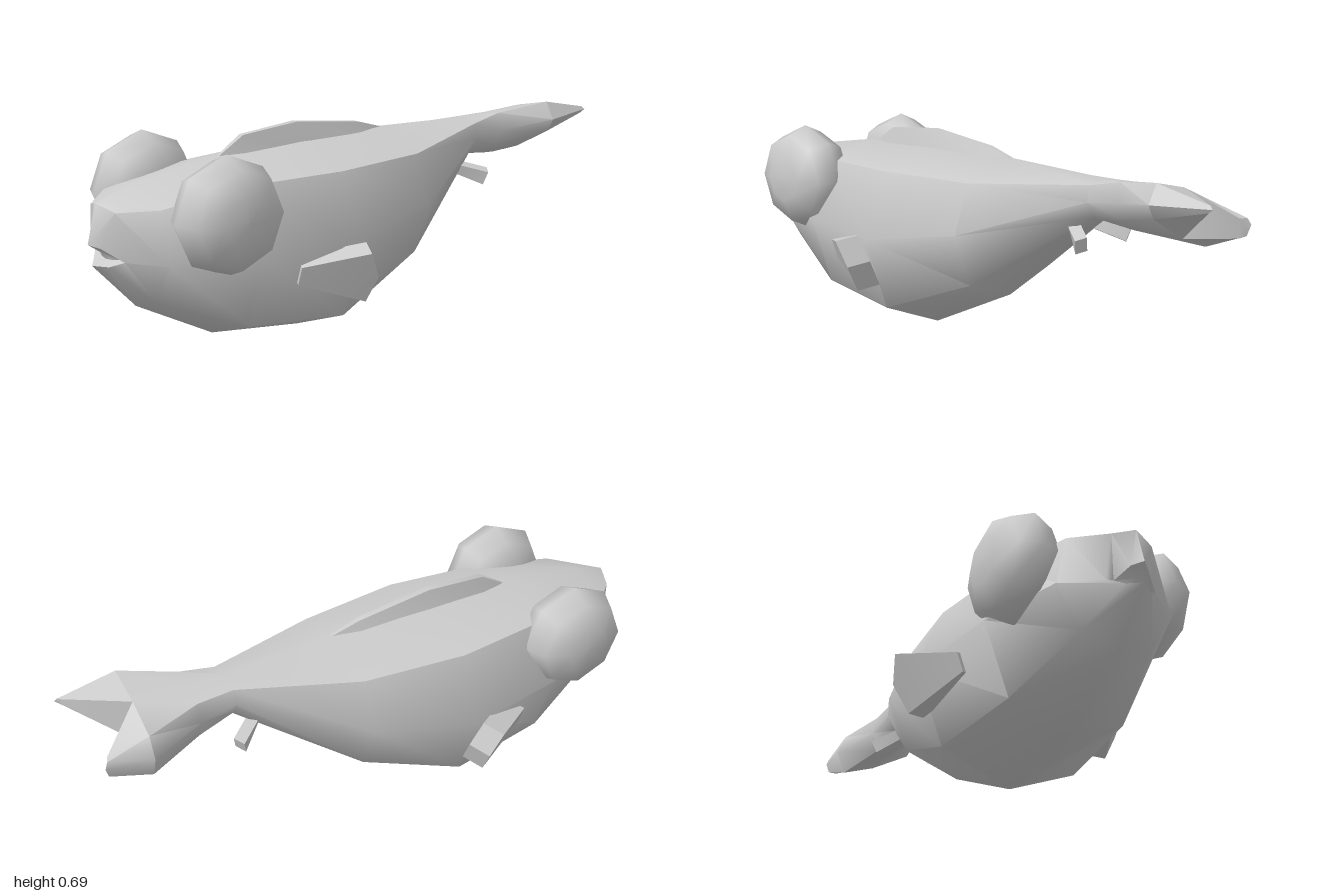
import * as THREE from 'three';
import { toCreasedNormals } from 'three/addons/utils/BufferGeometryUtils.js';

const material = new THREE.MeshStandardMaterial({ color: 0xcccccc });

// Skin over matching rings of [x, y, z] points, capped at both ends
function loft(name, rings, crease) {
  const n = rings[0].length;
  const positions = rings.flat(2);
  const index = [];
  for (let i = 0; i < rings.length - 1; i++) {
    for (let j = 0; j < n; j++) {
      const k = (j + 1) % n;
      const a = i * n + j, b = a + n, c = i * n + k, d = c + n;
      index.push(a, b, c, b, d, c);
    }
  }
  [0, rings.length - 1].forEach((r, end) => {
    const centre = positions.length / 3;
    for (let axis = 0; axis < 3; axis++) {
      positions.push(rings[r].reduce((sum, p) => sum + p[axis], 0) / n);
    }
    for (let j = 0; j < n; j++) {
      const a = r * n + j, b = r * n + (j + 1) % n;
      if (end) index.push(centre, b, a);
      else index.push(centre, a, b);
    }
  });
  const geometry = new THREE.BufferGeometry();
  geometry.setAttribute('position', new THREE.Float32BufferAttribute(positions, 3));
  geometry.setIndex(index);
  const mesh = new THREE.Mesh(toCreasedNormals(geometry, crease), material);
  mesh.name = name;
  return mesh;
}

const mirror = (ring) => ring.map(([x, y, z]) => [x, y, -z]).reverse();

// Symmetric eight-sided ring from its five left-hand points, belly to back
function fullRing(half) {
  return [...half, ...half.slice(1, 4).reverse().map(([x, y, z]) => [x, y, -z])];
}

// Body ring: belly height, [y, z] of lower, side and upper corners, back height
function station(x, belly, lower, side, upper, back) {
  return fullRing([[x, belly, 0], [x, ...lower], [x, ...side], [x, ...upper], [x, back, 0]]);
}

// Slab fin: outline swept by an offset
function slab(name, outline, [dx, dy, dz], side) {
  const rings = [outline, outline.map(([x, y, z]) => [x + dx, y + dy, z + dz])];
  return loft(name, side > 0 ? rings : rings.map(mirror), 0.5);
}

export function createModel() {
  const model = new THREE.Group();
  model.name = 'fish';

  // Tilted ring where the tail splits into two lobes
  const fork = [
    [0.8, 0.455, 0], [0.8, 0.535, 0.145], [0.8, 0.58, 0.17], [0.8, 0.64, 0.135],
    [0.8, 0.61, 0], [0.8, 0.56, -0.12], [0.8, 0.49, -0.15], [0.8, 0.412, -0.12],
  ];

  // Body, from the recessed mouth to the tail fork
  model.add(loft('body', [
    fullRing([[-0.945, 0.368, 0], [-0.94, 0.37, 0.03], [-0.93, 0.375, 0.06],
      [-0.975, 0.41, 0.03], [-1, 0.42, 0]]),
    fullRing([[-0.99, 0.355, 0], [-0.96, 0.355, 0.045], [-0.93, 0.372, 0.085],
      [-0.945, 0.52, 0.07], [-0.97, 0.54, 0]]),
    station(-0.85, 0.2, [0.24, 0.12], [0.37, 0.2], [0.53, 0.16], 0.575),
    station(-0.58, 0.05, [0.125, 0.2], [0.36, 0.28], [0.565, 0.2], 0.615),
    station(-0.24, 0, [0.095, 0.24], [0.345, 0.33], [0.565, 0.24], 0.63),
    station(0.11, 0.16, [0.225, 0.19], [0.4, 0.26], [0.562, 0.2], 0.622),
    station(0.5, 0.47, [0.485, 0.05], [0.535, 0.08], [0.588, 0.07], 0.602),
    [[0.62, 0.455, 0], [0.62, 0.49, 0.06], [0.62, 0.55, 0.085], [0.62, 0.612, 0.07],
      [0.62, 0.605, 0], [0.62, 0.58, -0.07], [0.62, 0.515, -0.085], [0.62, 0.45, -0.06]],
    fork,
  ], 0.87));

  // Tail lobes
  model.add(loft('leftTailLobe', [fork.slice(0, 5), [
    [0.98, 0.578, 0.13], [0.985, 0.578, 0.14], [1, 0.59, 0.145], [0.99, 0.6, 0.14], [0.98, 0.6, 0.13],
  ]], 0.87));
  model.add(loft('rightTailLobe', [[...fork.slice(4), fork[0]], [
    [0.93, 0.52, -0.1], [0.94, 0.52, -0.125], [0.95, 0.5, -0.132], [0.94, 0.465, -0.125], [0.93, 0.46, -0.1],
  ]], 0.87));

  // Low ridge fin along the back
  const ridge = [[-0.54, 0.615, 0.01, 0.005], [-0.45, 0.67, 0.025, 0.01], [-0.24, 0.685, 0.035, 0.012],
    [0.02, 0.65, 0.03, 0.01], [0.12, 0.62, 0.01, 0.005]];
  model.add(loft('dorsalFin', ridge.map(([x, top, base, tip]) => [
    [x, 0.6, -base], [x, 0.6, base], [x, top, tip], [x, top, -tip],
  ]), 0.6));

  // Eye profile, turned to look sideways
  const eyeProfile = [[0, -0.107], [0.075, -0.105], [0.152, -0.07], [0.182, 0],
    [0.152, 0.07], [0.075, 0.105], [0, 0.107]].map(([r, h]) => new THREE.Vector2(r, h));
  const eyeGeometry = new THREE.LatheGeometry(eyeProfile, 8).rotateX(Math.PI / 2);

  for (const side of [1, -1]) {
    const prefix = side > 0 ? 'left' : 'right';

    const eye = new THREE.Mesh(eyeGeometry, material);
    eye.name = prefix + 'Eye';
    eye.position.set(-0.667, 0.497, side * 0.23);
    model.add(eye);

    model.add(slab(prefix + 'PectoralFin', [
      [-0.45, 0.31, 0.3], [-0.45, 0.25, 0.28], [-0.25, 0.175, 0.36], [-0.24, 0.265, 0.41], [-0.28, 0.35, 0.425],
    ], [0.035, 0.015, -0.068], side));

    model.add(slab(prefix + 'PelvicFin', [
      [0.4, 0.46, 0.06], [0.42, 0.42, 0.06], [0.495, 0.38, 0.125], [0.505, 0.425, 0.14],
    ], [0.022, 0.01, -0.03], side));
  }

  return model;
}
